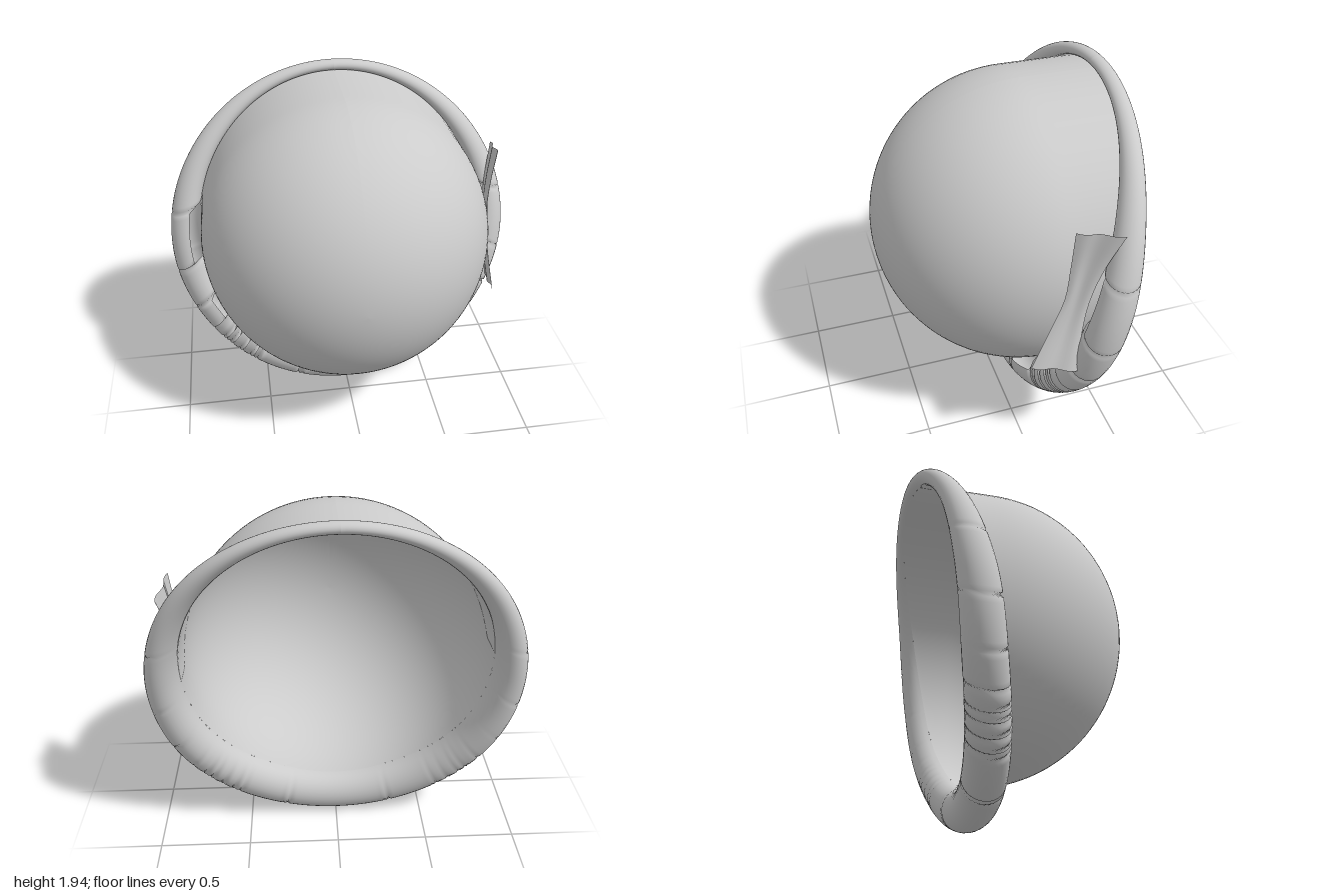
import * as THREE from 'three';

const TAU = Math.PI * 2;
const material = new THREE.MeshStandardMaterial({ color: 0xcccccc, side: THREE.DoubleSide });

// Surface from a rule: place(u, v) gives the position of each grid point.
function surface(name, nu, nv, place) {
  const geometry = new THREE.PlaneGeometry(1, 1, nu, nv);
  const pos = geometry.attributes.position;
  for (let i = 0; i < pos.count; i++) {
    const p = place((i % (nu + 1)) / nu, Math.floor(i / (nu + 1)) / nv);
    pos.setXYZ(i, p.x, p.y, p.z);
  }
  geometry.computeVertexNormals();
  const mesh = new THREE.Mesh(geometry, material);
  mesh.name = name;
  return mesh;
}

// Front and back depth of the rolled brim, from the bottom to the top: (-, front z, back z)
const brimDepth = new THREE.CatmullRomCurve3(
  [[-0.05, -0.28], [-0.17, -0.39], [-0.26, -0.46], [-0.39, -0.53], [-0.56, -0.64]]
    .map(([front, back], i) => new THREE.Vector3(i, front, back)), false, 'catmullrom');

// Point on the brim roll: angle a runs from the top, roll r is PI at the crown,
// 1.5 PI at the back, 2 PI at the outer rim and 2.5 PI at the front.
function brimPoint(a, r) {
  const s = Math.sin(a), c = Math.cos(a);
  const depth = brimDepth.getPoint((c + 1) / 2);
  const k = 0.5 + 0.5 * Math.cos(r);
  return new THREE.Vector3(
    THREE.MathUtils.lerp(0.82 * s, s, k),
    THREE.MathUtils.lerp(1.06 + 0.82 * c, 0.97 + 0.97 * c, k),
    (depth.y + depth.z) / 2 + Math.sin(r) * (depth.y - depth.z) / 2);
}

// Openings between rolled edge and crown, in degrees from the bottom, on both sides
const openings = [[-1, 17], [19, 35], [37, 39], [41, 43], [45, 47], [49, 51], [54, 65], [80, 102]];
function rollEnd(a) {
  const deg = Math.abs(180 - THREE.MathUtils.radToDeg(a));
  const open = openings.some(([from, to]) => deg > from && deg < to);
  return (open ? 2.58 : 2.97) * Math.PI;
}

// Domed crown, carried back from its widest ring to meet the tilted brim
function crownPoint(u, v) {
  const a = u * TAU;
  const dome = Math.min(v / 0.8, 1) * Math.PI / 2;
  const p = new THREE.Vector3(
    0.82 * Math.sin(dome) * Math.sin(a),
    1.06 + 0.82 * Math.sin(dome) * Math.cos(a),
    -0.18 + 0.82 * Math.cos(dome));
  if (v > 0.8) p.lerp(brimPoint(a, Math.PI), (v - 0.8) / 0.2);
  return p;
}

// Ribbon stations from top to bottom: y and z of the front edge, y and z of the back edge, x
const ribbonFront = new THREE.CatmullRomCurve3([
  [0.86, 1.52, -0.15], [0.835, 1.3, -0.15], [0.828, 1.1, -0.135], [0.835, 0.93, -0.07], [0.855, 0.71, 0.03],
].map((p) => new THREE.Vector3(...p)));
const ribbonBack = new THREE.CatmullRomCurve3([
  [0.895, 1.47, -0.39], [0.855, 1.27, -0.32], [0.84, 1.07, -0.265], [0.85, 0.88, -0.235], [0.89, 0.65, -0.21],
].map((p) => new THREE.Vector3(...p)));

// Flared ribbon, pinched at the middle, with soft pleats along it
function ribbonPoint(u, v) {
  const p = ribbonFront.getPoint(v).lerp(ribbonBack.getPoint(v), u);
  p.x += 0.008 * Math.sin(u * TAU * 1.5);
  return p;
}

export function createModel() {
  const hat = new THREE.Group();
  hat.name = 'roundHat';
  hat.add(
    surface('crown', 96, 40, crownPoint),
    surface('rolledBrim', 240, 24, (u, v) => {
      const a = u * TAU;
      return brimPoint(a, THREE.MathUtils.lerp(Math.PI, rollEnd(a), v));
    }),
    surface('sideRibbon', 12, 16, ribbonPoint));
  return hat;
}
